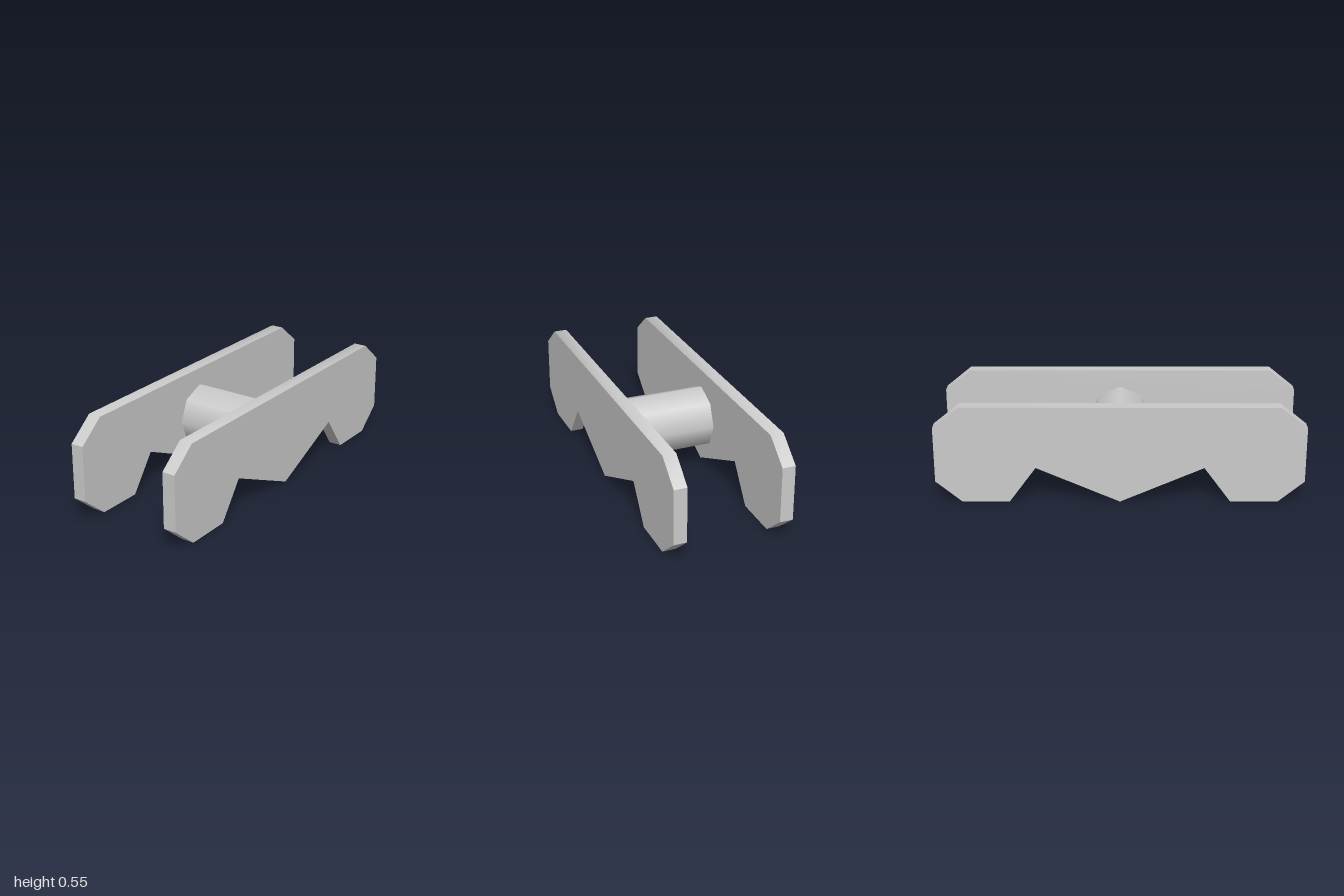
import * as THREE from 'three';
import { toCreasedNormals } from 'three/addons/utils/BufferGeometryUtils.js';

export function createModel() {
  const group = new THREE.Group();
  const material = new THREE.MeshStandardMaterial({ color: 0xcccccc });
  const inner = 0.256, thickness = 0.073;

  // Half of the plate outline (z, y), mirrored about the centre line
  const half = [[0.455, 0.2], [0.6, 0], [0.857, 0], [1, 0.12], [1, 0.43], [0.857, 0.547]];
  const mirrored = half.map(([z, y]) => [-z, y]).reverse();
  const outline = [[0, 0], ...half, ...mirrored].map(([z, y]) => new THREE.Vector2(z, y));

  // Side plates: chamfered corners, two notches underneath and a central point
  let plate = new THREE.ExtrudeGeometry(new THREE.Shape(outline), { depth: thickness, bevelEnabled: false });
  plate.translate(0, 0, -thickness / 2);
  plate.rotateY(-Math.PI / 2);
  plate = toCreasedNormals(plate, Math.PI / 4);
  for (const [name, side] of [['leftPlate', 1], ['rightPlate', -1]]) {
    const mesh = new THREE.Mesh(plate, material);
    mesh.name = name;
    mesh.position.x = side * (inner + thickness / 2);
    group.add(mesh);
  }

  // Eight-sided axle joining the plates
  const axle = new THREE.Mesh(new THREE.CylinderGeometry(0.174, 0.174, inner * 2, 8), material);
  axle.name = 'axle';
  axle.rotation.z = Math.PI / 2;
  axle.position.y = 0.274;
  group.add(axle);

  return group;
}
